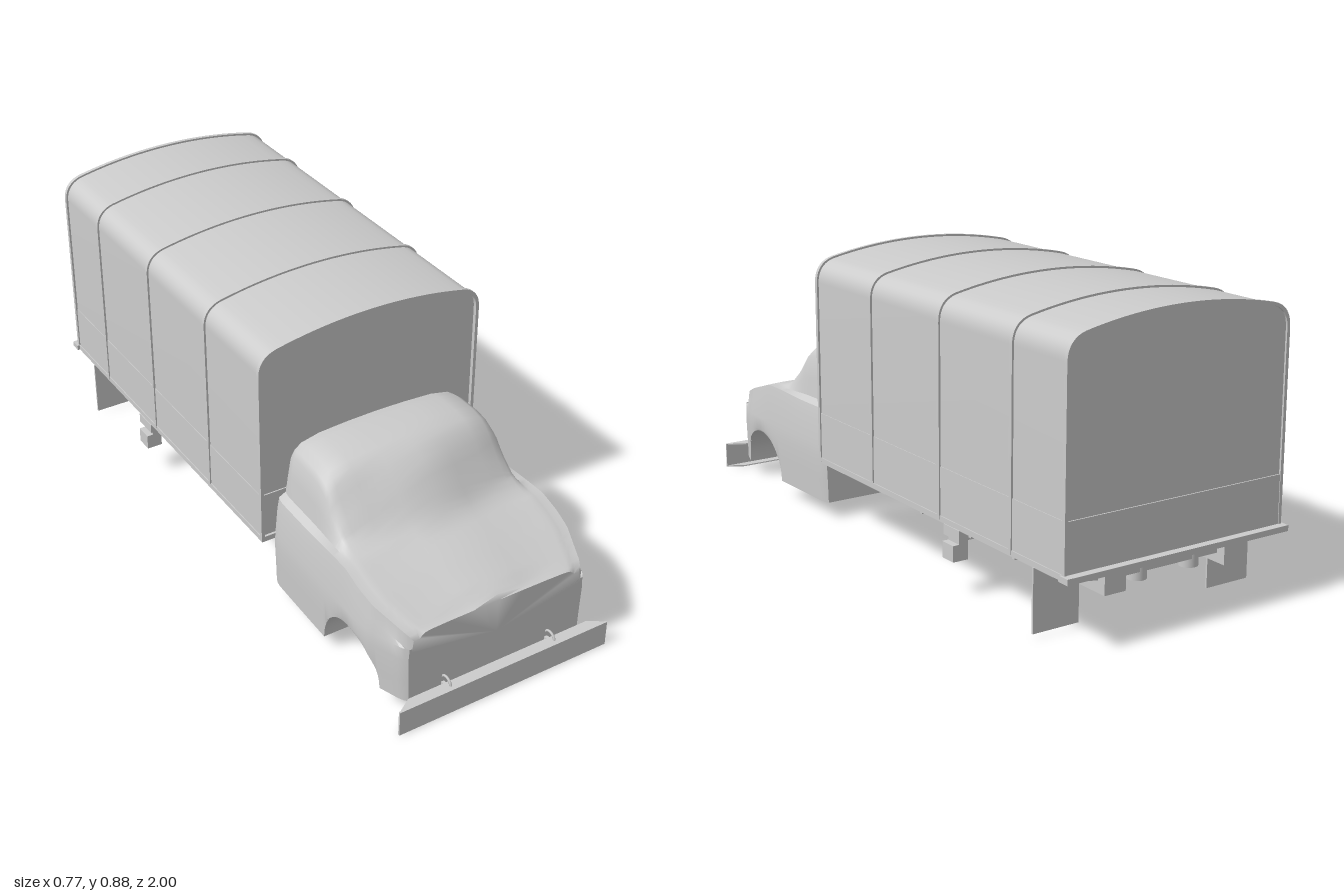
import * as THREE from 'three';
import { toCreasedNormals } from 'three/addons/utils/BufferGeometryUtils.js';

const mat = new THREE.MeshStandardMaterial({ color: 0xcccccc, side: THREE.DoubleSide });

function add(parent, name, geometry) {
  const mesh = new THREE.Mesh(geometry, mat);
  mesh.name = name;
  parent.add(mesh);
  return mesh;
}

// Box given by its limits on each axis
function block(parent, name, x0, x1, y0, y1, z0, z1) {
  const mesh = add(parent, name, new THREE.BoxGeometry(x1 - x0, y1 - y0, z1 - z0));
  mesh.position.set((x0 + x1) / 2, (y0 + y1) / 2, (z0 + z1) / 2);
  return mesh;
}

// Piecewise linear lookup
function lookup(points, t) {
  if (t <= points[0][0]) return points[0][1];
  for (let i = 1; i < points.length; i++) {
    const [a, u] = points[i - 1], [b, v] = points[i];
    if (t <= b) return u + (v - u) * (t - a) / (b - a);
  }
  return points[points.length - 1][1];
}

// Cab: cross-sections along z, with the wheel arch cut out of the underside
const roofLine = [[0.31, 0.52], [0.322, 0.545], [0.36, 0.554], [0.48, 0.552], [0.53, 0.538],
  [0.58, 0.505], [0.68, 0.388], [0.71, 0.37], [0.8, 0.342], [0.92, 0.3], [0.935, 0.292], [0.945, 0.28]];
const halfWidth = [[0.31, 0.338], [0.33, 0.346], [0.5, 0.35], [0.76, 0.355], [0.82, 0.348],
  [0.92, 0.312], [0.935, 0.304], [0.945, 0.295]];
// x at full width, height between belt line (0) and roof (1)
const upper = [[0, 1], [0.1, 0.99], [0.2, 0.96], [0.262, 0.89], [0.285, 0.8], [0.296, 0.7],
  [0.306, 0.35], [0.314, 0.04], [0.337, -0.03]];
const arch = { z: 0.73, rz: 0.13, ry: 0.14 };

function cabSection(z) {
  const w = lookup(halfWidth, z) / 0.355;
  const belt = Math.min(0.355, lookup(roofLine, z) - 0.02);
  const sweep = 0.25 * THREE.MathUtils.clamp((z - 0.4) / 0.15, 0, 1);
  const d = (z - arch.z) / arch.rz;
  const bottom = 0.05 + (Math.abs(d) < 1 ? arch.ry * Math.sqrt(1 - d * d) : 0);
  const half = upper.map(([x, f]) => {
    const top = Math.max(lookup(roofLine, z + sweep * x), belt + 0.004);
    return [x * w, belt + (top - belt) * f];
  });
  half.push([0.344 * w, belt - 0.04], [0.352 * w, 0.235], [0.355 * w, 0.195],
    [0.352 * w, Math.max(bottom, 0.12)], [0.35 * w, bottom]);
  const mirrored = half.slice(1).reverse().map(([x, y]) => [-x, y]);
  return [...half, ...mirrored].map(([x, y]) => [x, y, z]);
}

function cabGeometry() {
  const stations = [0.31, 0.322, 0.34, 0.36, 0.4, 0.44, 0.48, 0.5, 0.52, 0.54, 0.56, 0.58, 0.599];
  for (let i = 0; i <= 20; i++) stations.push(arch.z - arch.rz * Math.cos(Math.PI * i / 20));
  stations.push(0.861, 0.88, 0.9, 0.92, 0.935, 0.945);
  const rings = stations.map(cabSection), n = rings[0].length;
  const pos = rings.flat(2), idx = [];
  for (let k = 0; k < rings.length - 1; k++) {
    for (let i = 0; i < n; i++) {
      const a = k * n + i, b = k * n + (i + 1) % n;
      idx.push(a, a + n, b, b, a + n, b + n);
    }
  }
  // Rear wall and grille face
  const rear = rings.length * n, front = rear + 1, last = (rings.length - 1) * n;
  pos.push(0, 0.2, 0.31, 0, 0.17, 0.945);
  for (let i = 0; i < n; i++) {
    const j = (i + 1) % n;
    idx.push(rear, i, j, front, last + j, last + i);
  }
  const g = new THREE.BufferGeometry();
  g.setAttribute('position', new THREE.Float32BufferAttribute(pos, 3));
  g.setIndex(idx);
  return toCreasedNormals(g, 0.7);
}

// Outline of the canvas body with a cambered roof, grown outward by g
function bodyOutline(g, Type = THREE.Shape) {
  const s = new Type(), x = 0.367 + g;
  s.moveTo(-x, 0.2);
  s.lineTo(x, 0.2);
  s.lineTo(x, 0.765);
  s.quadraticCurveTo(x, 0.82 + g, 0.315, 0.835 + g);
  s.quadraticCurveTo(0.16, 0.869 + g, 0, 0.869 + g);
  s.quadraticCurveTo(-0.16, 0.869 + g, -0.315, 0.835 + g);
  s.quadraticCurveTo(-x, 0.82 + g, -x, 0.765);
  s.lineTo(-x, 0.2);
  return s;
}

function extrude(shape, depth) {
  return toCreasedNormals(new THREE.ExtrudeGeometry(shape, { depth, bevelEnabled: false, curveSegments: 10 }), 0.6);
}

export function createModel() {
  const model = new THREE.Group();
  model.name = 'truck';
  add(model, 'cab', cabGeometry());

  // Cargo body with hoops
  const cargo = new THREE.Group();
  cargo.name = 'cargoBody';
  model.add(cargo);
  add(cargo, 'canopy', extrude(bodyOutline(0), 1.255)).position.z = -0.972;
  for (const z of [0.289, -0.027, -0.39, -0.737, -0.972]) {
    const hoop = bodyOutline(0.006);
    hoop.holes.push(bodyOutline(-0.004, THREE.Path));
    add(cargo, 'hoop', extrude(hoop, 0.012)).position.z = z - 0.006;
  }
  block(cargo, 'lowerBoards', -0.369, 0.369, 0.2, 0.355, -0.976, 0.287);
  block(cargo, 'floor', -0.372, 0.372, 0.195, 0.212, -0.98, 0.295);
  block(cargo, 'rearSill', -0.38, 0.38, 0.195, 0.212, -1, -0.965);

  // Bumper: face plate with tapered top and bottom flanges
  const bumper = new THREE.Group();
  bumper.name = 'bumper';
  model.add(bumper);
  block(bumper, 'bumperFace', -0.355, 0.355, 0, 0.082, 0.994, 1);
  const flange = new THREE.Shape();
  flange.moveTo(-0.355, 0.997);
  flange.lineTo(0.355, 0.997);
  flange.lineTo(0.305, 0.965);
  flange.lineTo(-0.305, 0.965);
  for (const y of [0.082, 0.004]) {
    const f = add(bumper, 'bumperFlange', extrude(flange, 0.004));
    f.rotation.x = Math.PI / 2;
    f.position.y = y;
  }
  for (const s of [-1, 1]) {
    const x = s * 0.178;
    block(bumper, 'bumperBracket', x - 0.005, x + 0.005, 0.05, 0.07, 0.93, 0.995);
    const hook = add(bumper, 'towHook', new THREE.TorusGeometry(0.022, 0.004, 6, 16));
    hook.position.set(x, 0.076, 0.962);
    hook.rotation.y = Math.PI / 2;
  }

  // Underbody frame
  const under = new THREE.Group();
  under.name = 'underbody';
  model.add(under);
  for (const z of [-0.28, -0.53, -0.737, -0.94]) {
    const beam = new THREE.Shape();
    beam.moveTo(-0.36, 0.196);
    beam.lineTo(-0.36, 0.183);
    beam.lineTo(-0.2, 0.158);
    beam.lineTo(0.2, 0.158);
    beam.lineTo(0.36, 0.183);
    beam.lineTo(0.36, 0.196);
    add(under, 'crossBeam', extrude(beam, 0.012)).position.z = z - 0.006;
  }
  // Dropped axle hangers
  for (const z of [-0.26, -0.65]) {
    block(under, 'hangerBar', -0.2, 0.2, 0.086, 0.12, z - 0.019, z + 0.019);
    for (const s of [-1, 1]) {
      block(under, 'hangerStrut', s * 0.17 - 0.012, s * 0.17 + 0.012, 0.12, 0.196, z - 0.006, z + 0.006);
    }
  }
  for (const s of [-1, 1]) {
    // Limits measured outward from the centre line
    const side = (name, a, b, ...rest) => block(under, name, Math.min(s * a, s * b), Math.max(s * a, s * b), ...rest);
    side('rail', 0.11, 0.14, 0.165, 0.196, -0.67, -0.24);
    side('sideBracket', 0.2, 0.375, 0.165, 0.196, -0.5, -0.42);
    side('sideStep', 0.335, 0.385, 0.102, 0.15, -0.485, -0.43);
    side('stepStrut', 0.335, 0.365, 0.15, 0.17, -0.485, -0.43);
    side('mudFlap', 0.225, 0.375, 0.012, 0.196, -0.848, -0.842);
    side('flapBracket', 0.27, 0.3, 0.15, 0.196, -0.87, -0.842);
    side('lampBox', 0.17, 0.24, 0.13, 0.196, -0.975, -0.87);
    const cup = add(under, 'lampCup', new THREE.CylinderGeometry(0.028, 0.028, 0.065, 16));
    cup.position.set(s * 0.09, 0.165, -0.92);
  }
  return model;
}
